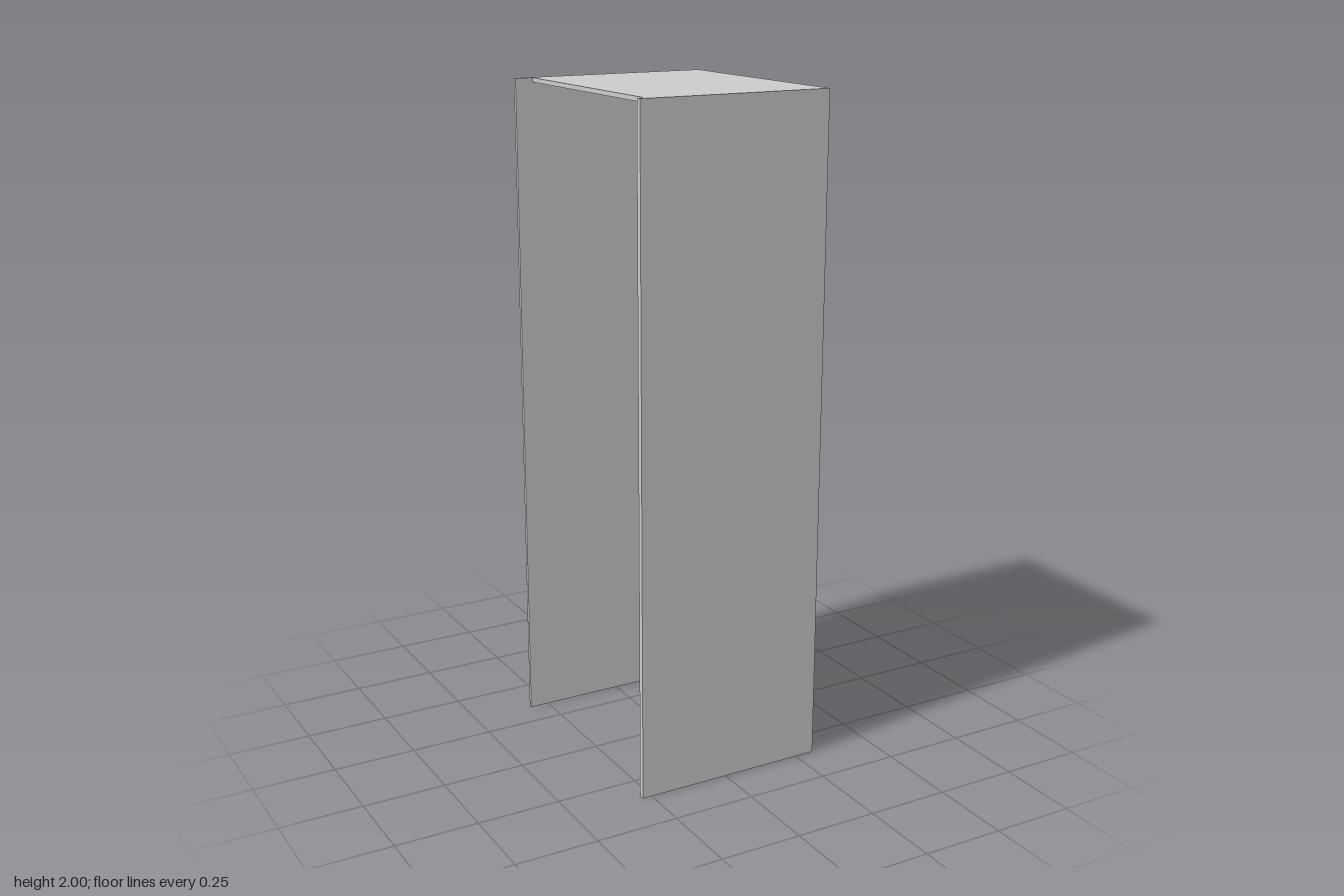
import * as THREE from 'three';

export function createModel() {
  const model = new THREE.Group();
  const material = new THREE.MeshStandardMaterial({ color: 0xcccccc, flatShading: true });

  // Board spanning the given ranges on each axis
  function board(name, [x0, x1], [y0, y1], [z0, z1]) {
    const mesh = new THREE.Mesh(new THREE.BoxGeometry(x1 - x0, y1 - y0, z1 - z0), material);
    mesh.position.set((x0 + x1) / 2, (y0 + y1) / 2, (z0 + z1) / 2);
    mesh.name = name;
    model.add(mesh);
  }

  // Three upright panels, open on the right-hand (-x) side and underneath
  board('sidePanel', [0.297, 0.31], [0, 2], [-0.355, 0.355]);
  board('backPanel', [-0.31, 0.297], [0, 2], [-0.355, -0.344]);
  board('frontPanel', [-0.279, 0.297], [0, 2], [0.338, 0.355]);

  // Top board fitted between the uprights, set back from the open edge
  board('topPanel', [-0.256, 0.297], [1.987, 2], [-0.344, 0.338]);

  return model;
}
